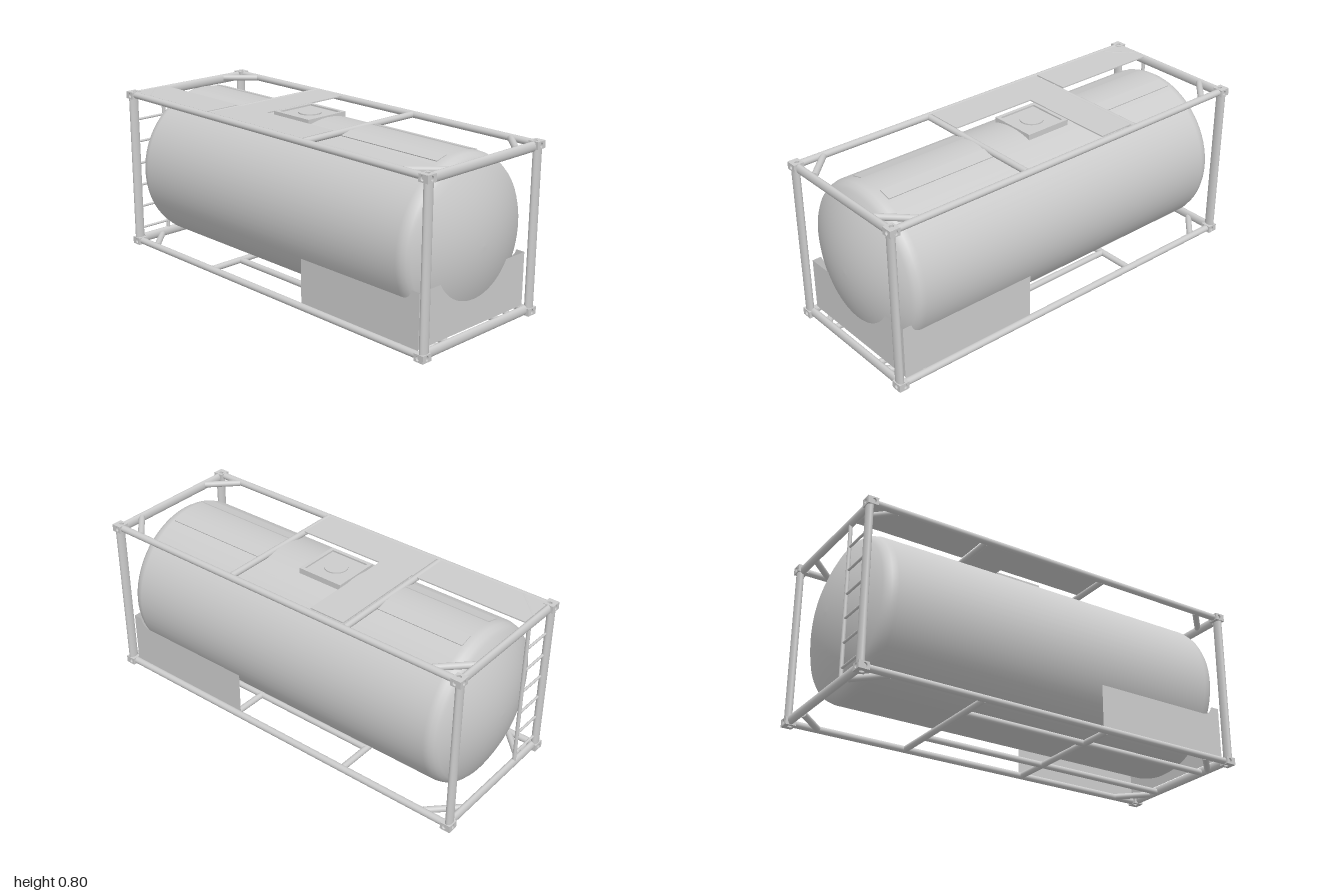
import * as THREE from 'three';

const mat = new THREE.MeshStandardMaterial({ color: 0xcccccc });
const matTwo = new THREE.MeshStandardMaterial({ color: 0xcccccc, side: THREE.DoubleSide });
const TANK_Y = 0.413, TANK_R = 0.383;

export function createModel() {
  const root = new THREE.Group();
  const add = (name, geo, x = 0, y = 0, z = 0, parent = root, m = mat) => {
    const mesh = new THREE.Mesh(geo, m);
    mesh.name = name;
    mesh.position.set(x, y, z);
    parent.add(mesh);
    return mesh;
  };
  const box = (name, w, h, d, x, y, z, parent) => add(name, new THREE.BoxGeometry(w, h, d), x, y, z, parent);

  // round or oval tube between two points; ru and rv are the half widths
  const bar = (name, a, b, ru, rv = ru, parent = root) => {
    const A = new THREE.Vector3(...a), B = new THREE.Vector3(...b);
    const dir = B.clone().sub(A), len = dir.length();
    const geo = new THREE.CylinderGeometry(1, 1, len, 20).scale(ru, 1, rv);
    const mesh = add(name, geo, 0, 0, 0, parent);
    mesh.position.copy(A.add(B).multiplyScalar(0.5));
    mesh.quaternion.setFromUnitVectors(new THREE.Vector3(0, 1, 0), dir.normalize());
    return mesh;
  };

  // pressure vessel: shallow dished ends with rounded knuckles
  const end = [];
  for (let i = 0; i <= 10; i++) {
    const r = 0.035 * i;
    end.push([r, 0.992 - (r * r) / 1.32]);
  }
  end.push([0.366, 0.885], [0.377, 0.867], [TANK_R, 0.84]);
  const profile = [
    ...end.map(([r, z]) => new THREE.Vector2(r, -z)),
    ...end.slice().reverse().map(([r, z]) => new THREE.Vector2(r, z)),
  ];
  add('tank', new THREE.LatheGeometry(profile, 72).rotateX(Math.PI / 2), 0, TANK_Y, 0);

  // flat strips along the crown of the tank
  for (const s of [-1, 1])
    for (const [z0, z1] of [[-0.84, -0.4], [0.27, 0.83]]) {
      const strip = box('crownStrip', 0.062, 0.004, z1 - z0, s * 0.1, 0.784, (z0 + z1) / 2);
      strip.rotation.z = -s * 0.26;
    }

  // corner fittings with a slotted plate on each outer face
  const plate = (w, h, t) => {
    const s = new THREE.Shape();
    s.moveTo(-w / 2, -h / 2);
    s.lineTo(w / 2, -h / 2);
    s.lineTo(w / 2, h / 2);
    s.lineTo(-w / 2, h / 2);
    const hole = new THREE.Path();
    hole.absellipse(0, 0, 0.009, 0.012, 0, Math.PI * 2, true);
    s.holes.push(hole);
    return new THREE.ExtrudeGeometry(s, { depth: t, bevelEnabled: false, curveSegments: 10 }).translate(0, 0, -t / 2);
  };
  const W = 0.053, H = 0.035, D = 0.05, T = 0.01;
  for (const sx of [-1, 1])
    for (const sy of [-1, 1])
      for (const sz of [-1, 1]) {
        const g = new THREE.Group();
        g.name = 'cornerFitting';
        g.position.set(sx * 0.3515, sy > 0 ? 0.786 : H / 2, sz * 0.975);
        root.add(g);
        box('fittingCore', W - T, H - T, D - T, -sx * T / 2, -sy * T / 2, -sz * T / 2, g);
        add('fittingFace', plate(W, H, T), 0, 0, sz * (D - T) / 2, g);
        add('fittingSide', plate(D - T, H, T).rotateY(Math.PI / 2), sx * (W - T) / 2, 0, -sz * T / 2, g);
        add('fittingCap', plate(W - T, D - T, T).rotateX(Math.PI / 2), -sx * T / 2, sy * (H - T) / 2, -sz * T / 2, g);
      }

  // outer frame: posts, end beams, side rails and corner braces
  const TOP = 0.787, BOTTOM = 0.018;
  for (const sx of [-1, 1])
    for (const sz of [-1, 1])
      bar('cornerPost', [sx * 0.35, 0.03, sz * 0.98], [sx * 0.35, 0.775, sz * 0.98], 0.025, 0.016);
  for (const y of [BOTTOM, TOP]) {
    for (const s of [-1, 1]) {
      bar('sideRail', [s * 0.354, y, -0.96], [s * 0.354, y, 0.96], 0.017, 0.016);
      const beamY = y === TOP ? 0.78 : 0.025;
      bar('endBeam', [-0.33, beamY, s * 0.975], [0.33, beamY, s * 0.975], 0.023, 0.015);
      for (const sx of [-1, 1])
        bar('cornerBrace', [sx * 0.345, y, s * 0.84], [sx * 0.22, y, s * 0.965], 0.015);
    }
    for (const z of [-0.39, 0.26])
      bar('crossBar', [-0.345, y, z], [0.345, y, z], 0.015);
  }
  for (const s of [-1, 1])
    bar('floorRail', [s * 0.17, BOTTOM, -0.39], [s * 0.17, BOTTOM, 0.97], 0.015);

  // walkways on top
  box('walkwayLong', 0.19, 0.006, 0.56, -0.25, 0.798, -0.685);
  box('walkwayLong', 0.19, 0.006, 0.63, -0.25, 0.798, -0.065);
  box('walkwayCross', 0.49, 0.006, 0.18, 0.09, 0.798, -0.285);

  // manhole tray and lid
  const mz = -0.067;
  for (const s of [-1, 1]) {
    box('manholeWall', 0.018, 0.05, 0.235, s * 0.109, 0.779, mz);
    box('manholeWall', 0.2, 0.05, 0.018, 0, 0.779, mz + s * 0.1085);
  }
  box('manholeFloor', 0.2, 0.03, 0.2, 0, 0.781, mz);
  add('manholeLid', new THREE.CylinderGeometry(0.055, 0.055, 0.01, 32), 0, 0.797, mz);

  // front skirt: end plate cut around the tank, and two side sheets
  const face = new THREE.Shape();
  const cut = 0.25, a = Math.asin((TANK_Y - 0.288) / cut);
  face.moveTo(-0.345, 0.035);
  face.lineTo(0.345, 0.035);
  face.lineTo(0.345, 0.288);
  face.lineTo(cut * Math.cos(a), 0.288);
  face.absarc(0, TANK_Y, cut, -a, -Math.PI + a, true);
  face.lineTo(-0.345, 0.288);
  add('skirtFront', new THREE.ShapeGeometry(face, 32), 0, 0, 0.945, root, matTwo);

  const side = new THREE.Shape();
  side.moveTo(-0.24, 0.03);
  side.lineTo(-0.24, 0.243);
  side.lineTo(-0.85, 0.243);
  side.quadraticCurveTo(-0.89, 0.245, -0.9, 0.288);
  side.lineTo(-0.945, 0.288);
  side.lineTo(-0.945, 0.03);
  for (const s of [-1, 1])
    add('skirtSide', new THREE.ShapeGeometry(side, 10).rotateY(Math.PI / 2), s * 0.345, 0, 0, root, matTwo);

  // ladder at the back
  const ladder = new THREE.Group();
  ladder.name = 'ladder';
  root.add(ladder);
  bar('ladderStile', [-0.17, 0.03, -0.978], [-0.17, 0.78, -0.978], 0.009, 0.009, ladder);
  for (let i = 0; i < 6; i++) {
    const y = 0.08 + i * 0.115;
    bar('ladderRung', [-0.335, y, -0.978], [-0.17, y, -0.978], 0.006, 0.006, ladder);
  }

  return root;
}
